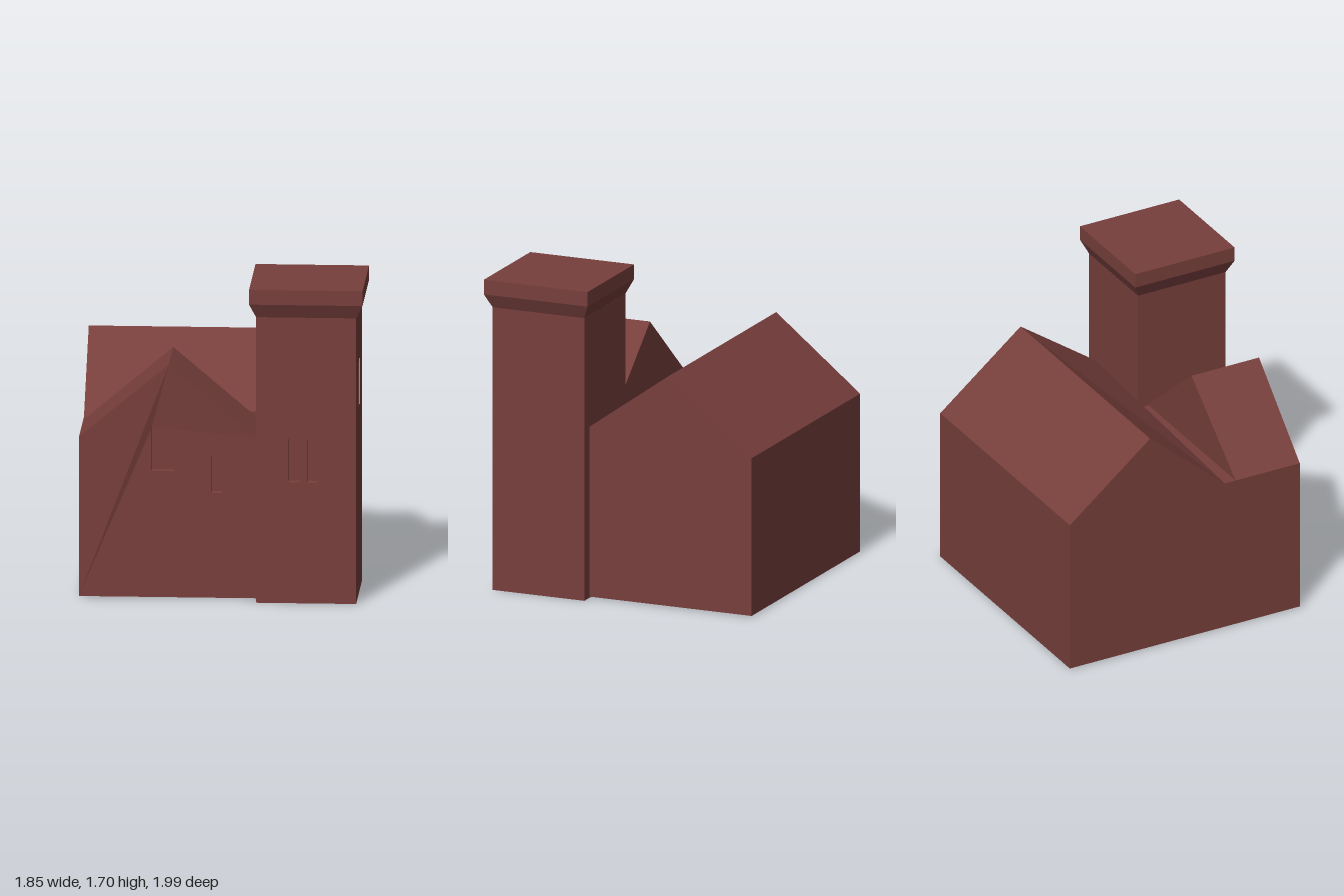
import * as THREE from 'three';

const material = new THREE.MeshStandardMaterial({ color: 0x773f3c, flatShading: true });
const RECESS = 0.05; // window depth

// Closed prism from an outline, with rectangular holes [x0, x1, y0, y1]
function prism(outline, depth, holes = []) {
  const shape = new THREE.Shape(outline.map(([x, y]) => new THREE.Vector2(x, y)));
  for (const [x0, x1, y0, y1] of holes) {
    shape.holes.push(new THREE.Path([
      new THREE.Vector2(x0, y0), new THREE.Vector2(x0, y1),
      new THREE.Vector2(x1, y1), new THREE.Vector2(x1, y0),
    ]));
  }
  return new THREE.ExtrudeGeometry(shape, { depth, bevelEnabled: false });
}

// Prism along z, from z0 to z1
const alongZ = (outline, z0, z1, holes) => prism(outline, z1 - z0, holes).translate(0, 0, z0);

// Prism along x, from x0 to x1; outline and holes are given in (z, y)
function alongX(outline, x0, x1, holes = []) {
  const flipped = outline.map(([z, y]) => [-z, y]);
  const cuts = holes.map(([a, b, c, d]) => [-b, -a, c, d]);
  return prism(flipped, x1 - x0, cuts).rotateY(Math.PI / 2).translate(x0, 0, 0);
}

// Moves every vertex by a rule
function deform(geometry, rule) {
  const p = geometry.attributes.position;
  const v = new THREE.Vector3();
  for (let i = 0; i < p.count; i++) {
    rule(v.fromBufferAttribute(p, i));
    p.setXYZ(i, v.x, v.y, v.z);
  }
  geometry.computeVertexNormals();
  return geometry;
}

const rect = (a, b, y0, y1) => [[a, y0], [b, y0], [b, y1], [a, y1]];

export function createModel() {
  const model = new THREE.Group();
  model.name = 'house';
  const house = new THREE.Group();
  house.name = 'turnedHouse';
  house.rotation.y = -0.4445;
  model.add(house);

  const add = (name, geometry) => {
    const mesh = new THREE.Mesh(geometry, material);
    mesh.name = name;
    house.add(mesh);
    return mesh;
  };

  // Main house: gabled block whose front eave rises a little towards the right
  const left = -0.731, right = 0.664, eave = 0.865, highEave = 0.932;
  const mainOutline = [[-0.757, 0.006], [0.175, 0.006], [0.175, highEave], [-0.274, 1.255], [-0.757, eave]];
  const slantEave = (v) => {
    if (Math.abs(v.y - highEave) < 1e-4) v.y = eave + (highEave - eave) * (v.x - left) / (right - left);
  };
  add('mainHouse', deform(alongX(mainOutline, left, right - RECESS), slantEave));
  add('mainGableWall', deform(alongX(mainOutline, right - RECESS, right, [
    [-0.139, -0.022, 0.75, 0.965],
    [-0.549, -0.427, 0.75, 0.965],
    [-0.35, -0.23, 1.05, 1.15],
  ]), slantEave));

  // Front wing: its ridge runs forward and overhangs the gable slightly
  const ridge = -0.257, wingRight = 0.215, wingFront = 0.626;
  const wingOutline = [[left, 0.006], [wingRight, 0.006], [wingRight, eave], [ridge, 1.265], [left, eave]];
  add('wing', alongZ(wingOutline, 0.24, wingFront - RECESS));
  add('wingGableWall', deform(alongZ(wingOutline, wingFront - RECESS, wingFront, [
    [-0.35, -0.228, 0.685, 0.915],
    [-0.034, 0.021, 0.57, 0.77],
  ]), (v) => { if (v.y > 1.2 && v.z > wingFront - 0.01) v.z += 0.02; }));
  add('valleyInfill', alongZ(rect(left, wingRight, 0.006, eave), 0.175, 0.24));

  // Tower: solid core with two pierced wall panels
  const tx0 = 0.205, tx1 = 0.731, tz0 = 0.175, tz1 = 0.703, shaftTop = 1.54;
  add('towerCore', alongZ(rect(tx0, tx1 - RECESS, 0, shaftTop), tz0, tz1 - RECESS));
  add('towerFrontWall', alongZ(rect(tx0, tx1, 0, shaftTop), tz1 - RECESS, tz1, [
    [0.374, 0.434, 0.65, 0.885],
    [0.473, 0.528, 0.65, 0.885],
  ]));
  add('towerSideWall', alongX(rect(tz0, tz1 - RECESS, 0, shaftTop), tx1 - RECESS, tx1, [
    [0.444, 0.505, 1.0, 1.25],
    [0.344, 0.405, 1.0, 1.25],
  ]));

  // Flared square tower cap
  const capProfile = [[0, 1.54], [0.2635, 1.54], [0.2985, 1.615], [0.2985, 1.695], [0, 1.695]]
    .map(([half, y]) => new THREE.Vector2(half * Math.SQRT2, y));
  const cap = add('towerCap', new THREE.LatheGeometry(capProfile, 4).rotateY(Math.PI / 4));
  cap.position.set((tx0 + tx1) / 2, 0, (tz0 + tz1) / 2);

  return model;
}
